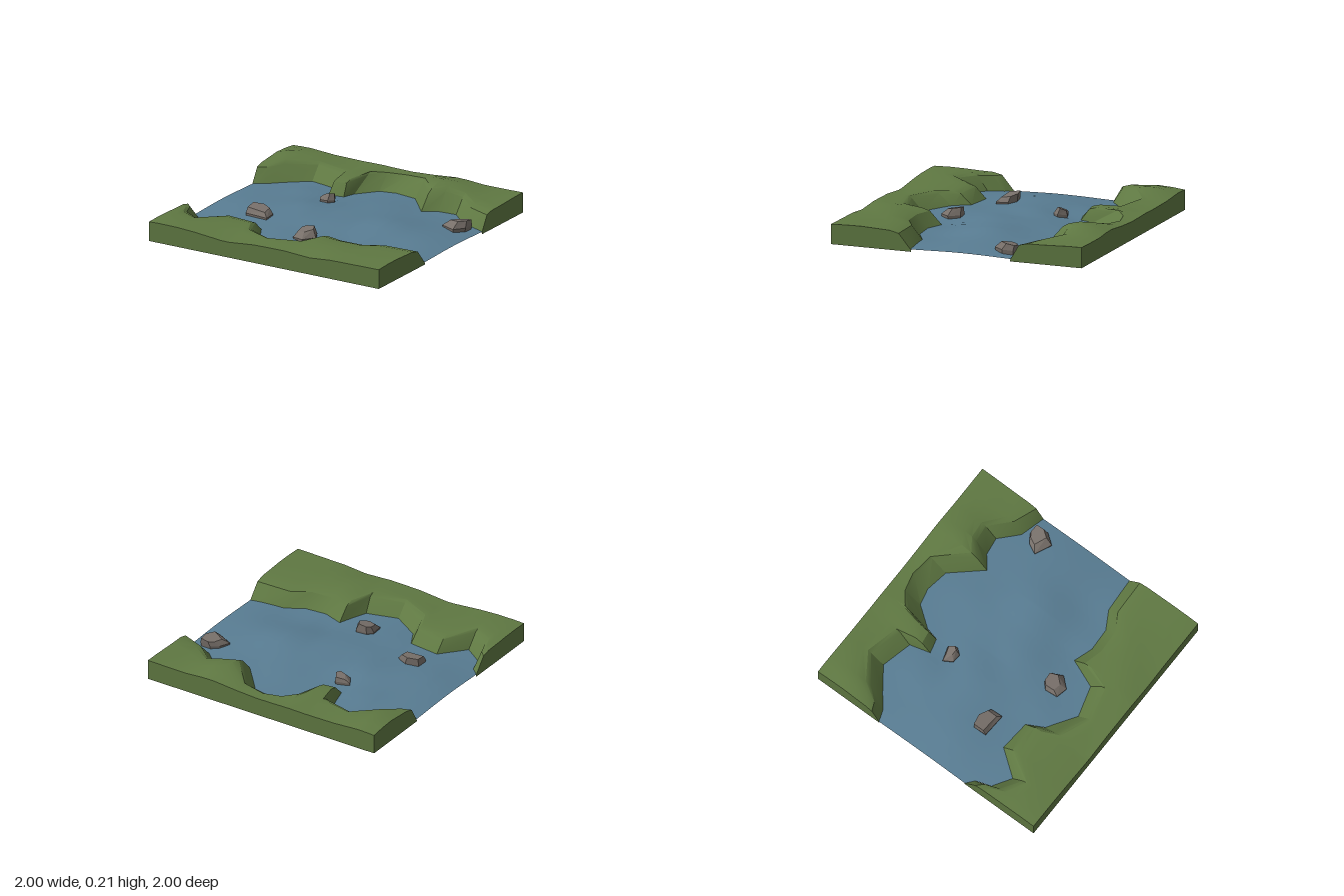
import * as THREE from 'three';
import { mergeGeometries, toCreasedNormals } from 'three/addons/utils/BufferGeometryUtils.js';

const material = (color, flatShading = false) =>
  new THREE.MeshStandardMaterial({ color, flatShading, side: THREE.DoubleSide });

// Surface through rows of points (rows run along +z, columns along +x for an upward face)
function sheet(rows) {
  const cols = rows[0].length, index = [];
  for (let r = 0; r < rows.length - 1; r++) {
    for (let c = 0; c < cols - 1; c++) {
      const a = r * cols + c, b = a + cols;
      index.push(a, b, a + 1, a + 1, b, b + 1);
    }
  }
  const g = new THREE.BufferGeometry();
  g.setAttribute('position', new THREE.Float32BufferAttribute(rows.flat(2), 3));
  g.setIndex(index);
  return g.toNonIndexed();
}

// Shoreline and bank crest as [x, z]
const backShore = [[-1, -.43], [-.91, -.46], [-.81, -.54], [-.63, -.67], [-.39, -.61], [-.35, -.45], [-.235, -.48],
  [-.21, -.58], [-.09, -.74], [.04, -.77], [.22, -.74], [.42, -.51], [.52, -.59], [.66, -.61], [.8, -.48], [1, -.43]];
const backCrest = [[-1, -.5], [-.93, -.53], [-.85, -.62], [-.64, -.78], [-.38, -.71], [-.35, -.53], [-.25, -.545],
  [-.2, -.77], [-.1, -.86], [.04, -.9], [.22, -.87], [.42, -.61], [.52, -.69], [.66, -.71], [.82, -.57], [1, -.5]];
const frontShore = [[-1, .36], [-.94, .41], [-.9, .53], [-.76, .62], [-.61, .42], [-.37, .44], [-.3, .57],
  [-.08, .71], [.16, .64], [.25, .42], [.4, .47], [.58, .46], [.72, .38], [1, .36]];
const frontCrest = [[-1, .46], [-.95, .51], [-.91, .62], [-.76, .72], [-.61, .51], [-.37, .53], [-.31, .68],
  [-.08, .8], [.18, .73], [.25, .52], [.4, .56], [.58, .55], [.72, .47], [1, .46]];

// Sum of round swells [x, z, height, radius]
const swell = (list, x, z) => list.reduce((y, [sx, sz, h, r]) =>
  y + h * Math.exp(-((x - sx) ** 2 + (z - sz) ** 2) / (r * r)), 0);

// Rolling ground
const hills = [[.45, -.8, .062, .19], [-.86, -.8, .045, .17], [.4, .82, .026, .18], [.38, 1, -.026, .15],
  [-.33, 1, -.026, .2], [-.85, .85, .016, .18], [-.45, .55, -.01, .2], [-.2, -.75, .015, .1], [.95, -.95, .012, .2],
  [-.5, -.9, -.01, .2], [0, -1, -.008, .2], [1, .8, .012, .2]];
const ground = (x, z) => .146 + swell(hills, x, z);

// River surface: higher in mid-stream, uneven, low where it runs out at the sides
const ripples = [[0, .12, .014, .2], [.42, -.06, .026, .22], [-.3, -.12, .016, .2], [-.52, -.42, .018, .15],
  [.15, -.45, .016, .2], [.6, .28, -.018, .2], [.25, .32, -.014, .15], [-.1, -.02, -.012, .12],
  [-.75, .1, .014, .2], [-.2, .45, .012, .15], [-.3, -.32, -.01, .12]];
function waterHeight(x, z) {
  const stream = Math.exp(-((z + .04) ** 2) / .14);
  const side = 1 - .6 * x ** 4;
  return Math.max(.005, (.036 + .032 * stream + swell(ripples, x, z)) * side);
}

// One bank: slope up from the shore, rounded crest, rolling top, skirts on the outer sides
function bank(shore, crest, edge) {
  const rows = [shore.map(([x, z]) => [x, waterHeight(x, z) - .006, z])];
  for (const t of [0, .13, .35, .55, .78, 1]) {
    rows.push(crest.map(([x, z]) => {
      const rz = THREE.MathUtils.lerp(z, edge, t);
      return [x, ground(x, rz) - (t === 0 ? .016 : 0), rz];
    }));
  }
  rows.push(crest.map(([x]) => [x, 0, edge]));
  if (edge < 0) rows.reverse();
  const drop = ([x, , z]) => [x, 0, z];
  const left = rows.map(r => [drop(r[0]), r[0]]);
  const right = rows.map(r => [r.at(-1), drop(r.at(-1))]);
  return toCreasedNormals(mergeGeometries([sheet(rows), sheet(left), sheet(right)]), .5);
}

// Linear lookup of a shoreline
function zAt(line, x) {
  const i = Math.max(1, line.findIndex(p => p[0] >= x));
  const [x0, z0] = line[i - 1], [x1, z1] = line[i];
  return THREE.MathUtils.lerp(z0, z1, (x - x0) / (x1 - x0));
}

function water() {
  const xs = [...backShore, ...frontShore].map(p => p[0]);
  for (let i = -9; i < 10; i++) xs.push(i / 10);
  const columns = [...new Set(xs)].sort((a, b) => a - b);
  const rows = [], n = 16;
  for (let r = 0; r <= n; r++) {
    rows.push(columns.map(x => {
      const z = THREE.MathUtils.lerp(zAt(backShore, x) - .004, zAt(frontShore, x) + .004, r / n);
      return [x, waterHeight(x, z), z];
    }));
  }
  return toCreasedNormals(sheet(rows), .5);
}

// Faceted boulder, open underneath: outline [x, z], bottom, top, top size, offset and slope in x and z
function rock({ outline, y0, y1, size, shift, tilt }) {
  const n = outline.length;
  const mx = outline.reduce((s, p) => s + p[0], 0) / n, mz = outline.reduce((s, p) => s + p[1], 0) / n;
  const ring = (k, y, off, slope) => [...outline, outline[0]].map(([x, z]) => [
    mx + (x - mx) * k + shift[0] * off,
    y + slope * (tilt[0] * (x - mx) + tilt[1] * (z - mz)),
    mz + (z - mz) * k + shift[1] * off]);
  const top = ring(size, y1, 1, 1);
  const cap = top.map(() => [mx + shift[0], y1, mz + shift[1]]);
  return sheet([ring(.92, y0, 0, 0), ring(1, y0 + (y1 - y0) * .5, 0, .3), top, cap]);
}

const rocks = [
  { outline: [[-.35, -.34], [-.24, -.375], [-.205, -.31], [-.24, -.265], [-.31, -.27]],
    y0: .035, y1: .112, size: .6, shift: [.012, -.015], tilt: [.15, .2] },
  { outline: [[.73, -.31], [.77, -.39], [.83, -.43], [.92, -.42], [.92, -.33], [.86, -.25]],
    y0: .02, y1: .1, size: .7, shift: [.015, -.025], tilt: [.08, .1] },
  { outline: [[-.625, .16], [-.52, .14], [-.435, .18], [-.43, .275], [-.62, .265]],
    y0: .03, y1: .113, size: .8, shift: [-.015, -.012], tilt: [-.06, -.12] },
  { outline: [[-.07, .4], [-.03, .36], [.06, .355], [.1, .44], [.03, .52], [-.06, .5]],
    y0: .015, y1: .11, size: .68, shift: [-.005, -.02], tilt: [.08, -.12] },
];

export function createModel() {
  const group = new THREE.Group();
  const add = (name, geometry, mat) => {
    const mesh = new THREE.Mesh(geometry, mat);
    mesh.name = name;
    group.add(mesh);
  };
  const grass = material(0x5f7842), stone = material(0x78706a, true);
  add('backBank', bank(backShore, backCrest, -1), grass);
  add('frontBank', bank(frontShore, frontCrest, 1), grass);
  add('river', water(), material(0x587c92));
  rocks.forEach((spec, i) => {
    const g = rock(spec);
    g.computeVertexNormals();
    add(`rock${i + 1}`, g, stone);
  });
  return group;
}
